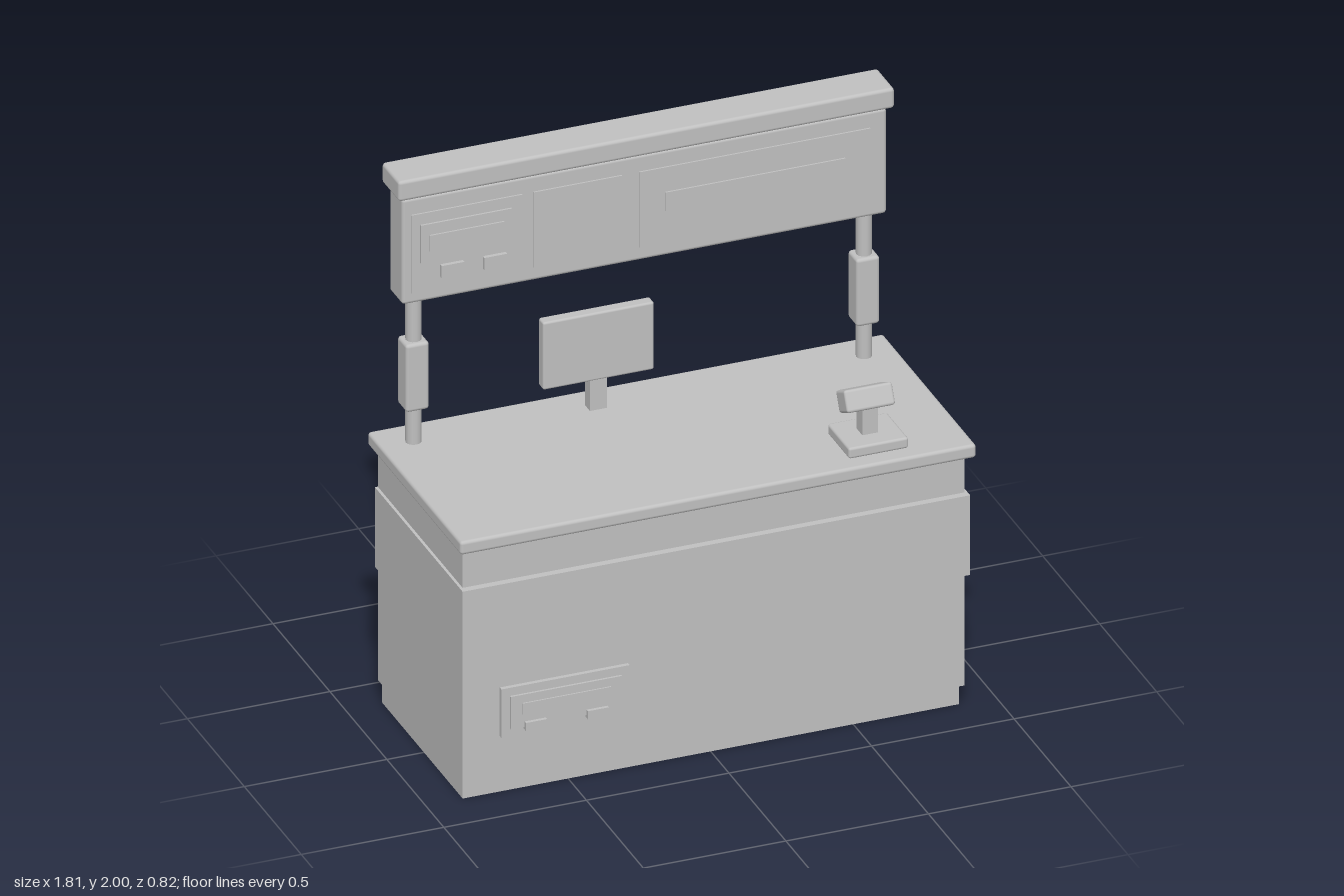
import * as THREE from 'three';
import { RoundedBoxGeometry } from 'three/addons/geometries/RoundedBoxGeometry.js';

const gray = new THREE.MeshStandardMaterial({ color: 0xc0c0c0 });
gray.name = 'light gray';

export function createModel() {
  const model = new THREE.Group();
  model.name = 'serviceCounter';

  const add = (name, geometry, parent = model) => {
    const mesh = new THREE.Mesh(geometry, gray);
    mesh.name = name;
    parent.add(mesh);
    return mesh;
  };

  // Box given by its limits on each axis, with optional rounded edges
  const box = (name, [x0, x1], [y0, y1], [z0, z1], radius = 0, parent = model) => {
    const size = [x1 - x0, y1 - y0, z1 - z0];
    const geometry = radius
      ? new RoundedBoxGeometry(...size, 2, radius)
      : new THREE.BoxGeometry(...size);
    const mesh = add(name, geometry, parent);
    mesh.position.set((x0 + x1) / 2, (y0 + y1) / 2, (z0 + z1) / 2);
    return mesh;
  };

  // Thin raised plate on a face at z, growing outward along side (+1 or -1)
  const plate = (name, xs, ys, z, depth, side, parent) =>
    box(name, xs, ys, side > 0 ? [z, z + depth] : [z - depth, z], 0, parent);

  // Counter
  box('plinth', [-0.87, 0.87], [0, 0.085], [-0.37, 0.34]);
  box('counterBody', [-0.88, 0.88], [0.08, 0.95], [-0.38, 0.365]);
  box('counterBand', [-0.89, 0.89], [0.5, 0.795], [-0.381, 0.39]);
  box('countertop', [-0.905, 0.905], [0.94, 0.99], [-0.41, 0.41], 0.012);

  // Plaque on the counter front
  const plaque = new THREE.Group();
  plaque.name = 'counterPlaque';
  model.add(plaque);
  plate('plaqueBase', [-0.75, -0.3], [0.22, 0.4], 0.365, 0.015, 1, plaque);
  plate('plaqueInset', [-0.72, -0.33], [0.25, 0.37], 0.38, 0.008, 1, plaque);
  plate('plaqueBar', [-0.68, -0.37], [0.3, 0.34], 0.388, 0.005, 1, plaque);
  for (const x of [-0.635, -0.418]) {
    plate('plaqueTab', [x - 0.037, x + 0.037], [0.24, 0.27], 0.38, 0.02, 1, plaque);
  }

  // Posts with sleeves
  for (const x of [-0.79, 0.79]) {
    const post = add('post', new THREE.CylinderGeometry(0.027, 0.027, 0.56, 12));
    post.position.set(x, 1.265, -0.293);
    box('postSleeve', [x - 0.041, x + 0.041], [1.12, 1.37], [-0.334, -0.252], 0.012);
  }

  // Overhead sign
  box('signBoard', [-0.85, 0.85], [1.53, 1.92], [-0.355, -0.24], 0.012);
  box('signCap', [-0.87, 0.87], [1.925, 2], [-0.372, -0.22], 0.012);
  box('signCapJoint', [-0.83, 0.83], [1.9, 1.94], [-0.345, -0.25]);

  // Sign panels, one set on each face
  for (const side of [1, -1]) {
    const panels = new THREE.Group();
    panels.name = side > 0 ? 'frontSignPanels' : 'backSignPanels';
    model.add(panels);
    const z = side > 0 ? -0.24 : -0.355;
    const narrow = side > 0 ? [-0.39, -0.08] : [0.485, 0.805];
    const long = side > 0 ? [-0.02, 0.79] : [-0.36, 0.43];
    plate('smallPanel', [-0.82, -0.43], [1.57, 1.86], z, 0.006, side, panels);
    plate('smallPanelInset', [-0.79, -0.47], [1.68, 1.82], z + side * 0.006, 0.007, side, panels);
    plate('smallPanelBar', [-0.76, -0.5], [1.72, 1.78], z + side * 0.013, 0.006, side, panels);
    for (const x of [-0.68, -0.53]) {
      plate('panelTab', [x - 0.04, x + 0.04], [1.615, 1.66], z + side * 0.006, 0.014, side, panels);
    }
    plate('narrowPanel', narrow, [1.58, 1.86], z, 0.006, side, panels);
    plate('longPanel', long, [1.58, 1.86], z, 0.006, side, panels);
    plate('longPanelBar', [long[0] + 0.09, long[1] - 0.09], [1.7, 1.77], z + side * 0.006, 0.006, side, panels);
  }

  // Monitor with its screen toward the back
  box('monitorStand', [-0.18, -0.12], [0.985, 1.12], [-0.315, -0.27]);
  box('monitor', [-0.345, 0.045], [1.1, 1.35], [-0.31, -0.267], 0.008);
  plate('monitorScreen', [-0.315, 0.015], [1.13, 1.32], -0.31, 0.008, -1);

  // Payment terminal
  box('terminalBase', [0.48, 0.69], [0.99, 1.03], [0.163, 0.352], 0.009);
  box('terminalNeck', [0.555, 0.61], [1.02, 1.13], [0.232, 0.282]);
  const head = add('terminalHead', new RoundedBoxGeometry(0.17, 0.076, 0.086, 2, 0.01));
  head.position.set(0.581, 1.147, 0.246);
  head.rotation.x = -0.46;

  return model;
}
